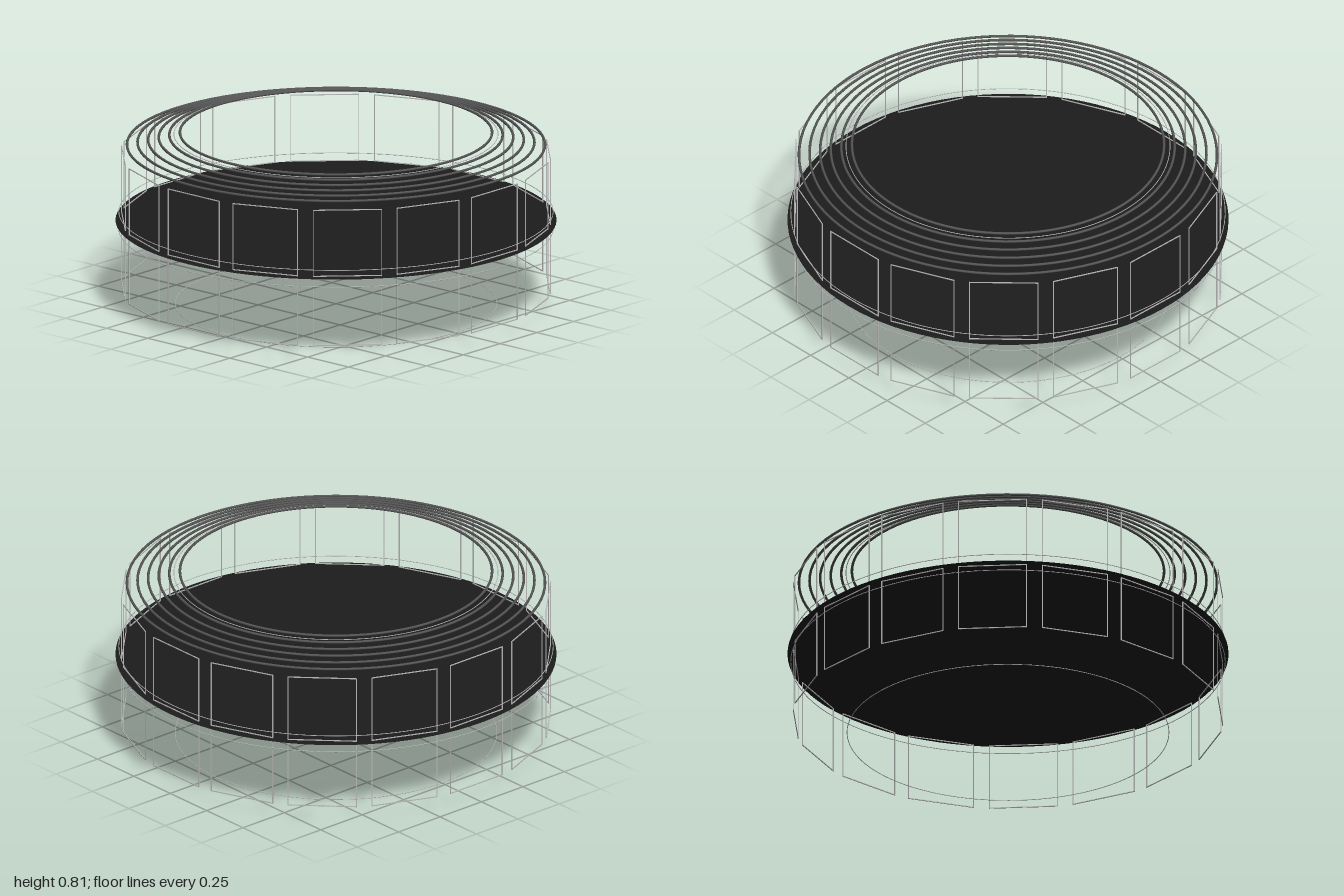
import * as THREE from 'three';

const mat = (name, color, side = THREE.FrontSide) => {
  const m = new THREE.MeshStandardMaterial({ color, side });
  m.name = name;
  return m;
};

export function createModel() {
  const model = new THREE.Group();
  model.name = 'ringFixture';
  const black = mat('black', 0x1c1c1c, THREE.DoubleSide);
  const darkGrey = mat('darkGrey', 0x555555);
  const lightGrey = mat('lightGrey', 0xb8b8b8);

  const add = (name, geometry, material, parent = model) => {
    const mesh = new THREE.Mesh(geometry, material);
    mesh.name = name;
    parent.add(mesh);
    return mesh;
  };
  const hoop = (name, radius, tube, y, material) => {
    const g = new THREE.TorusGeometry(radius, tube, 8, 96);
    g.rotateX(Math.PI / 2);
    add(name, g, material).position.y = y;
  };

  // Flat plate across the middle
  const plate = new THREE.CircleGeometry(1, 96);
  plate.rotateX(-Math.PI / 2);
  add('middlePlate', plate, black).position.y = 0.395;

  // Stepped stack of narrowing rings on top
  for (let i = 0; i < 6; i++) {
    hoop('topRing', 0.948 - i * 0.048, 0.006, 0.75 + i * 0.0115, darkGrey);
  }

  // Fine hoops around the plate, under the crown and at the base
  hoop('upperHoop', 0.985, 0.0018, 0.434, lightGrey);
  hoop('lowerHoop', 0.985, 0.0018, 0.355, lightGrey);
  hoop('crownHoop', 0.735, 0.0018, 0.8, lightGrey);
  hoop('baseHoop', 0.73, 0.0018, 0.0018, lightGrey);

  // Thin rectangular frame with an open middle
  const frameGeometry = (w, h, bar) => {
    const rect = (path, x, y) => path.moveTo(-x, -y).lineTo(x, -y).lineTo(x, y).lineTo(-x, y).closePath();
    const shape = rect(new THREE.Shape(), w / 2, h / 2);
    shape.holes.push(rect(new THREE.Path(), w / 2 - bar, h / 2 - bar));
    const g = new THREE.ExtrudeGeometry(shape, { depth: bar, bevelEnabled: false });
    g.translate(0, 0, 0.965 - bar / 2);
    return g;
  };
  const frame = frameGeometry(0.315, 0.315, 0.004);

  // Two tiers of sixteen frames around the sides
  for (let i = 0; i < 16; i++) {
    const bay = new THREE.Group();
    bay.name = 'frameBay';
    bay.rotation.y = (i * Math.PI) / 8;
    add('upperFrame', frame, lightGrey, bay).position.y = 0.558;
    add('lowerFrame', frame, lightGrey, bay).position.y = 0.232;
    model.add(bay);
  }
  return model;
}
